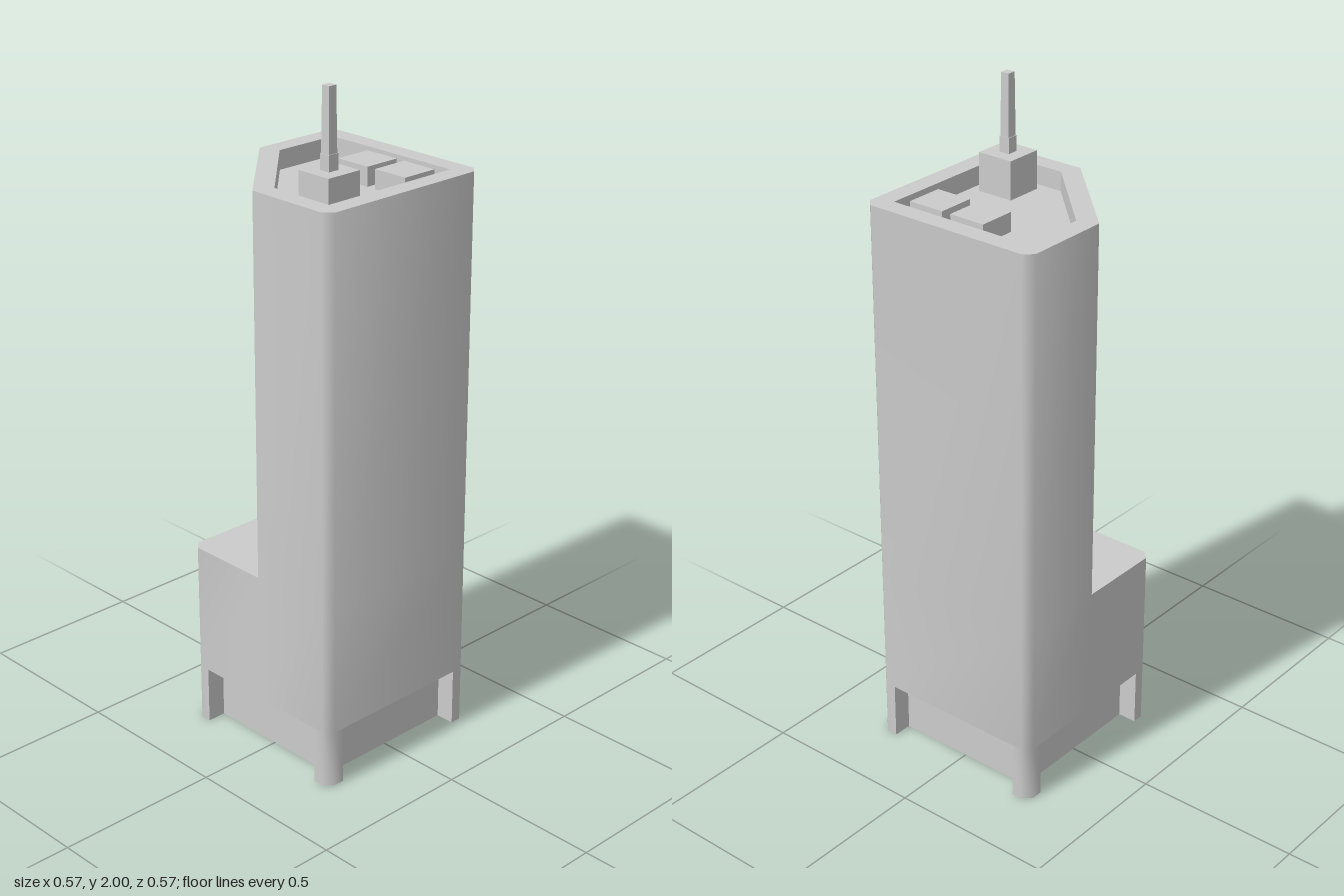
import * as THREE from 'three';
import { mergeGeometries, toCreasedNormals } from 'three/addons/utils/BufferGeometryUtils.js';

const R = 0.287, C = 0.262, I = 0.229;       // half width, chamfer start, inset
const BASE = 0.175, STEP = 0.57, TOP = 1.715, ROOF = 1.658;

// Plan outlines are [x, -z], counter-clockwise from above.
const cutOutline = [[-R, 0], [-R, -C], [-C, -R], [C, -R], [R, -C], [R, C], [C, R], [0, R]];
const notch = [[0, R], [-C, R], [-R, C], [-R, 0]];
const fullOutline = [...cutOutline, ...notch.slice(1, 3)];
const roofOutline = [[-I, -0.023], [-I, -I], [I, -I], [I, I], [0.023, I]];

const toShape = pts => new THREE.Shape(pts.map(([x, y]) => new THREE.Vector2(x, y)));

// Vertical strip of quads along a plan path.
function wall(path, y0, y1) {
  const pos = [];
  for (let i = 0; i < path.length - 1; i++) {
    const [ax, ay] = path[i], [bx, by] = path[i + 1];
    pos.push(ax, y0, -ay, bx, y0, -by, bx, y1, -by, ax, y0, -ay, bx, y1, -by, ax, y1, -ay);
  }
  const g = new THREE.BufferGeometry();
  g.setAttribute('position', new THREE.Float32BufferAttribute(pos, 3));
  g.computeVertexNormals();
  return g;
}

// Horizontal face at height y, looking up or down.
function slab(shape, y, down = false) {
  const g = new THREE.ShapeGeometry(shape);
  if (down) g.scale(1, -1, 1).rotateX(Math.PI / 2);
  else g.rotateX(-Math.PI / 2);
  return g.translate(0, y, 0);
}

export function createModel() {
  const model = new THREE.Group();
  const material = new THREE.MeshStandardMaterial({ color: 0xcccccc, side: THREE.DoubleSide });
  const add = (name, geometry, x = 0, y = 0, z = 0) => {
    const mesh = new THREE.Mesh(geometry, material);
    mesh.name = name;
    mesh.position.set(x, y, z);
    model.add(mesh);
    return mesh;
  };

  // Tower facade with softly shaded chamfered corners
  add('facade', toCreasedNormals(mergeGeometries([
    wall([...fullOutline, fullOutline[0]], BASE, STEP),
    wall(cutOutline, STEP, TOP),
  ]), 0.9));
  add('diagonalFacade', wall([[0, R], [-R, 0]], STEP, TOP));
  add('terrace', slab(toShape(notch), STEP));
  add('overhang', slab(toShape(fullOutline), BASE, true));

  // Parapet and sunken roof
  const rim = toShape(cutOutline);
  rim.holes.push(new THREE.Path(toShape(roofOutline).getPoints().reverse()));
  add('parapetRim', slab(rim, TOP));
  add('parapetInside', wall([...roofOutline, roofOutline[0]].reverse(), ROOF, TOP));
  add('roof', slab(toShape(roofOutline), ROOF));

  // Recessed ground floor and corner posts
  add('groundFloor', new THREE.BoxGeometry(2 * I, BASE, 2 * I), 0, BASE / 2, 0);
  const post = toCreasedNormals(new THREE.ExtrudeGeometry(
    toShape([[I, I], [R, I], [R, C], [C, R], [I, R]]),
    { depth: BASE, bevelEnabled: false }).rotateX(-Math.PI / 2), 0.9);
  for (let i = 0; i < 4; i++) add('cornerPost', post).rotation.y = i * Math.PI / 2;

  // Roof units
  const unit = new THREE.BoxGeometry(0.114, 0.057, 0.114);
  for (const z of [-0.001, 0.142]) add('roofUnit', unit, 0.142, ROOF + 0.0285, z);

  // Mast on its plinth
  add('mastPlinth', new THREE.BoxGeometry(0.114, 0.114, 0.114), -0.143, ROOF + 0.057, 0.142);
  const square = (top, bottom, h) =>
    new THREE.CylinderGeometry(top * Math.SQRT1_2, bottom * Math.SQRT1_2, h, 4)
      .rotateY(Math.PI / 4).toNonIndexed();
  const flat = g => { g.computeVertexNormals(); return g; };
  add('mastFoot', flat(square(0.034, 0.034, 0.046)), -0.143, 1.795, 0.142);
  add('mast', flat(square(0.026, 0.03, 0.182)), -0.143, 1.909, 0.142);

  return model;
}
